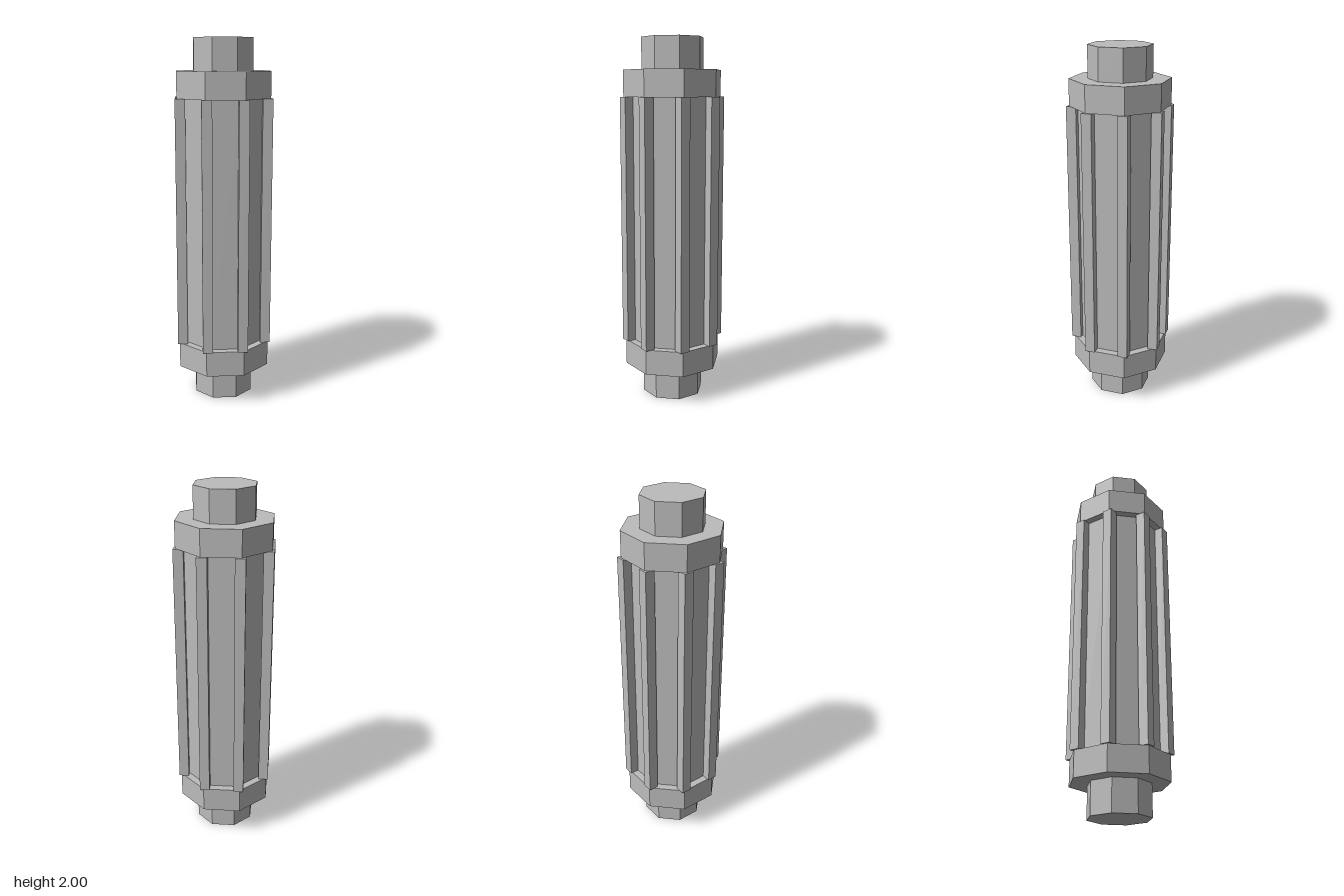
import * as THREE from 'three';

export function createModel() {
  const group = new THREE.Group();
  const grey = new THREE.MeshStandardMaterial({ color: 0xbcbcbc, flatShading: true });
  grey.name = 'light grey';

  // Octagonal prism with flat sides facing the axes; apothem = centre to flat
  function octagon(name, apothem, y0, y1) {
    const r = apothem / Math.cos(Math.PI / 8);
    const geo = new THREE.CylinderGeometry(r, r, y1 - y0, 8);
    geo.rotateY(Math.PI / 8);
    const mesh = new THREE.Mesh(geo, grey);
    mesh.name = name;
    mesh.position.y = (y0 + y1) / 2;
    group.add(mesh);
  }

  octagon('lowerStub', 0.158, 0, 0.175);
  octagon('lowerCollar', 0.25, 0.175, 0.317);
  octagon('body', 0.21, 0.317, 1.685);
  octagon('upperCollar', 0.25, 1.685, 1.828);
  octagon('upperStub', 0.158, 1.828, 2);

  // Eight square bars along the corners of the body
  const barGeo = new THREE.BoxGeometry(0.055, 1.368, 0.055);
  for (let i = 0; i < 8; i++) {
    const a = Math.PI / 8 + (i * Math.PI) / 4;
    const bar = new THREE.Mesh(barGeo, grey);
    bar.name = 'bar' + (i + 1);
    bar.position.set(0.2515 * Math.cos(a), 1.001, 0.2515 * Math.sin(a));
    group.add(bar);
  }

  return group;
}
